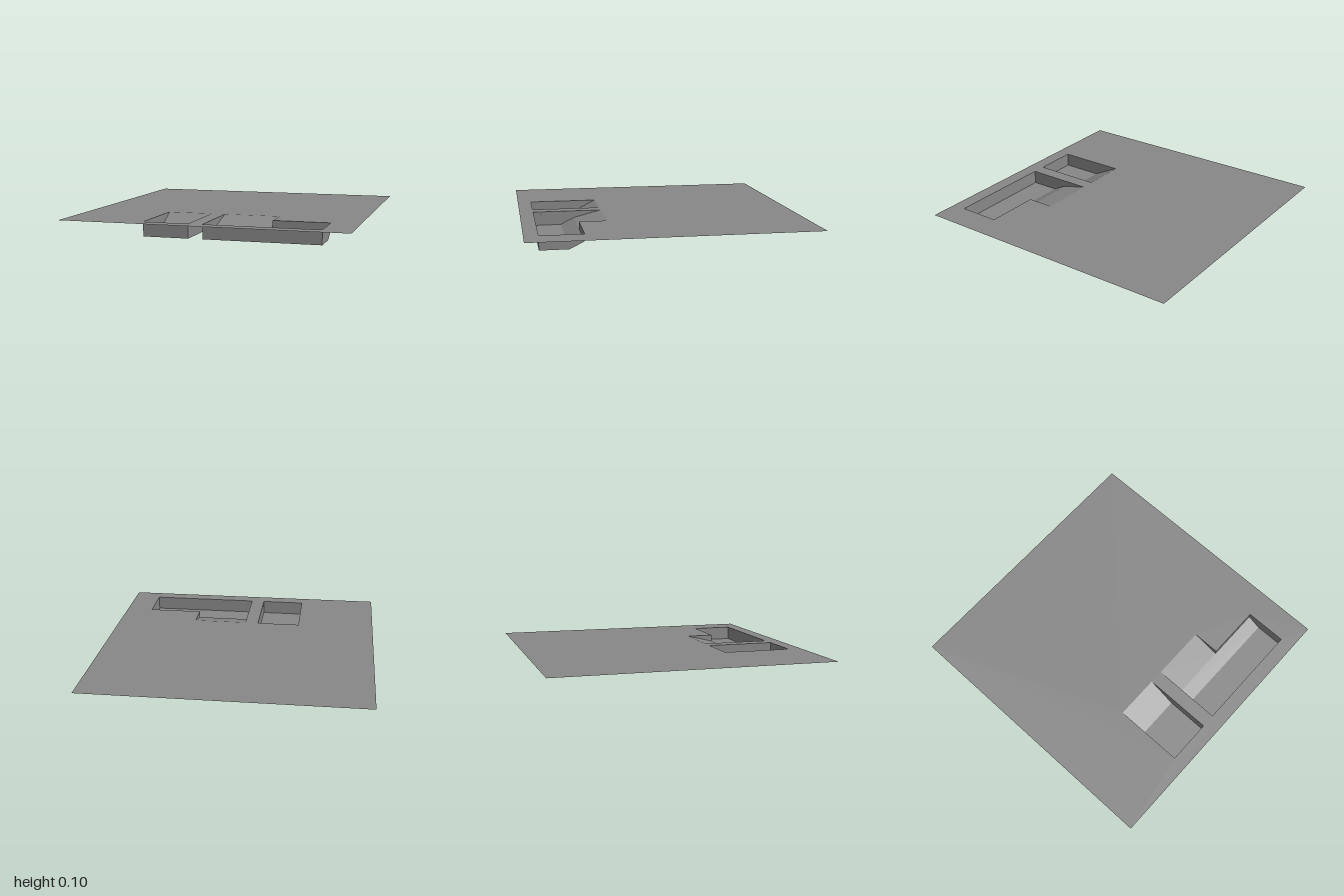
import * as THREE from 'three';

const TOP = 0.1; // ground level; pit floors lie at y = 0

export function createModel() {
  const group = new THREE.Group();
  const grey = new THREE.MeshStandardMaterial({ color: 0x888888, side: THREE.DoubleSide });
  grey.name = 'concrete grey';

  const add = (name, geometry, parent = group) => {
    const mesh = new THREE.Mesh(geometry, grey);
    mesh.name = name;
    parent.add(mesh);
    return mesh;
  };
  const points = list => list.map(([a, b]) => new THREE.Vector2(a, b));

  // Sheet following a [z, y] profile from x0 to x1, flat shaded
  const sheet = (x0, x1, profile) => {
    const pos = [];
    for (let i = 0; i < profile.length - 1; i++) {
      const [za, ya] = profile[i], [zb, yb] = profile[i + 1];
      pos.push(x0, ya, za, x0, yb, zb, x1, yb, zb);
      pos.push(x0, ya, za, x1, yb, zb, x1, ya, za);
    }
    const g = new THREE.BufferGeometry();
    g.setAttribute('position', new THREE.Float32BufferAttribute(pos, 3));
    g.computeVertexNormals();
    return g;
  };

  // Upright wall at x with a [z, y] outline
  const wall = (x, outline) =>
    new THREE.ShapeGeometry(new THREE.Shape(points(outline))).rotateY(-Math.PI / 2).translate(x, 0, 0);

  // Ground sheet with the two pit openings
  const ground = new THREE.Shape(points([[-1, -1], [1, -1], [1, 1], [-1, 1]]));
  const openings = [
    [[-0.42, 0.4], [-0.1, 0.4], [-0.1, 0.9], [-0.42, 0.9]],
    [[0, 0.4], [0.4, 0.4], [0.4, 0.6], [0.8, 0.6], [0.8, 0.9], [0, 0.9]],
  ];
  for (const o of openings) ground.holes.push(new THREE.Path(points(o.map(([x, z]) => [x, -z]))));
  add('ground', new THREE.ShapeGeometry(ground).rotateX(-Math.PI / 2).translate(0, TOP, 0));

  // Small pit: ramp, floor and front wall
  const small = new THREE.Group();
  small.name = 'smallPit';
  group.add(small);
  const smallProfile = [[0.4, TOP], [0.6, 0], [0.9, 0], [0.9, TOP]];
  add('smallPitBasin', sheet(-0.42, -0.1, smallProfile), small);
  for (const x of [-0.42, -0.1]) add('smallPitSide', wall(x, smallProfile), small);

  // Large L-shaped pit: shallow ramp leading to a deep trough
  const large = new THREE.Group();
  large.name = 'largePit';
  group.add(large);
  const trough = [[0.6, 0.05], [0.7, 0], [0.9, 0], [0.9, TOP]];
  const ramp = [[0.4, TOP], [0.6, 0.05]];
  add('shallowRamp', sheet(0, 0.4, ramp), large);
  add('troughBasin', sheet(0, 0.8, trough), large);
  add('troughBackWall', sheet(0.4, 0.8, [[0.6, TOP], [0.6, 0.05]]), large);
  add('longSide', wall(0, [ramp[0], ...trough]), large);
  add('rampSide', wall(0.4, [...ramp, [0.6, TOP]]), large);
  add('troughSide', wall(0.8, [[0.6, TOP], ...trough]), large);

  // Thin pipe linking the pits
  const pipe = new THREE.CylinderGeometry(0.004, 0.004, 0.104, 8);
  add('linkPipe', pipe.rotateZ(Math.PI / 2).translate(-0.05, 0.079, 0.845));

  return group;
}
